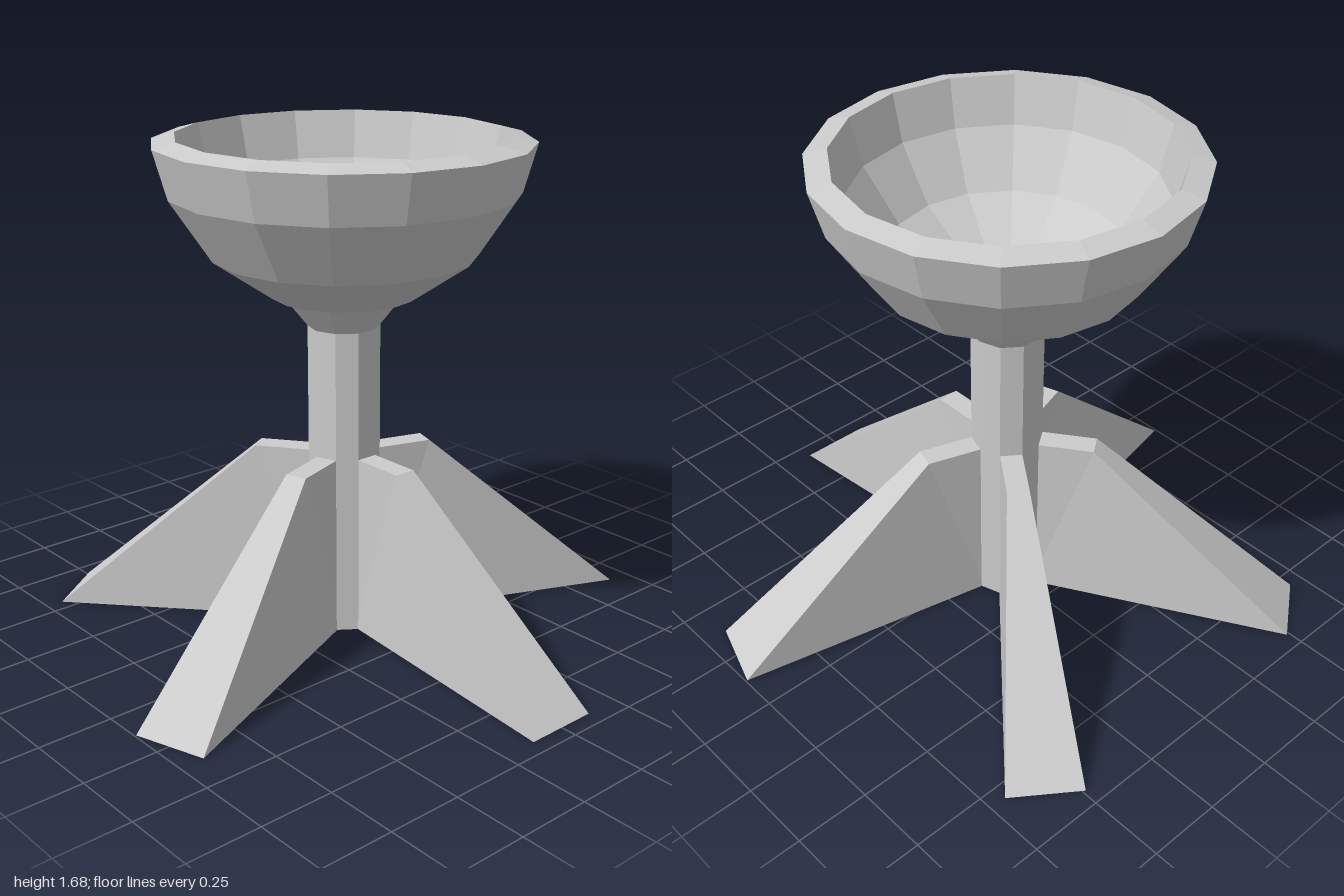
import * as THREE from 'three';

const material = new THREE.MeshStandardMaterial({ color: 0xcccccc, flatShading: true });

function addMesh(parent, name, geometry, y = 0) {
  const mesh = new THREE.Mesh(geometry, material);
  mesh.name = name;
  mesh.position.y = y;
  parent.add(mesh);
  return mesh;
}

// Buttress foot pointing along +x: outline corners as [reach, height, half width]
function footGeometry() {
  const outline = [[0.1, 0, 0.037], [1.005, 0, 0.125], [0.3, 0.62, 0.037], [0.1, 0.62, 0.037]];
  const positions = [];
  const corner = (i, side) => {
    const [x, y, half] = outline[i];
    positions.push(x, y, side * half);
  };
  // two flared side walls
  for (const i of [0, 1, 2, 0, 2, 3]) corner(i, 1);
  for (const i of [0, 2, 1, 0, 3, 2]) corner(i, -1);
  // strip joining them around the outline
  for (let i = 0; i < 4; i++) {
    const j = (i + 1) % 4;
    corner(i, 1); corner(i, -1); corner(j, -1);
    corner(i, 1); corner(j, -1); corner(j, 1);
  }
  const geometry = new THREE.BufferGeometry();
  geometry.setAttribute('position', new THREE.Float32BufferAttribute(positions, 3));
  geometry.computeVertexNormals();
  return geometry;
}

export function createModel() {
  const group = new THREE.Group();
  group.name = 'pedestalBowl';

  // the five-footed base reaches further on +x, so the axis sits off centre
  const body = new THREE.Group();
  body.name = 'body';
  body.position.x = -0.06;
  group.add(body);

  // ten-sided column and its flared collar
  addMesh(body, 'column', new THREE.CylinderGeometry(0.12, 0.12, 1.055, 10), 0.5275);
  addMesh(body, 'collar', new THREE.CylinderGeometry(0.2, 0.12, 0.1, 10), 1.105);

  // sixteen-sided bowl, outside then rim then inside
  const profile = [
    [0, 1.155], [0.24, 1.16], [0.435, 1.295], [0.57, 1.5], [0.615, 1.66],
    [0.54, 1.68], [0.5, 1.52], [0.38, 1.34], [0.21, 1.23], [0, 1.23],
  ].map(([r, y]) => new THREE.Vector2(r, y));
  addMesh(body, 'bowl', new THREE.LatheGeometry(profile, 16));

  // five feet around the column
  const foot = footGeometry();
  for (let i = 0; i < 5; i++) {
    addMesh(body, `foot${i + 1}`, foot).rotation.y = (i * Math.PI * 2) / 5;
  }

  return group;
}
